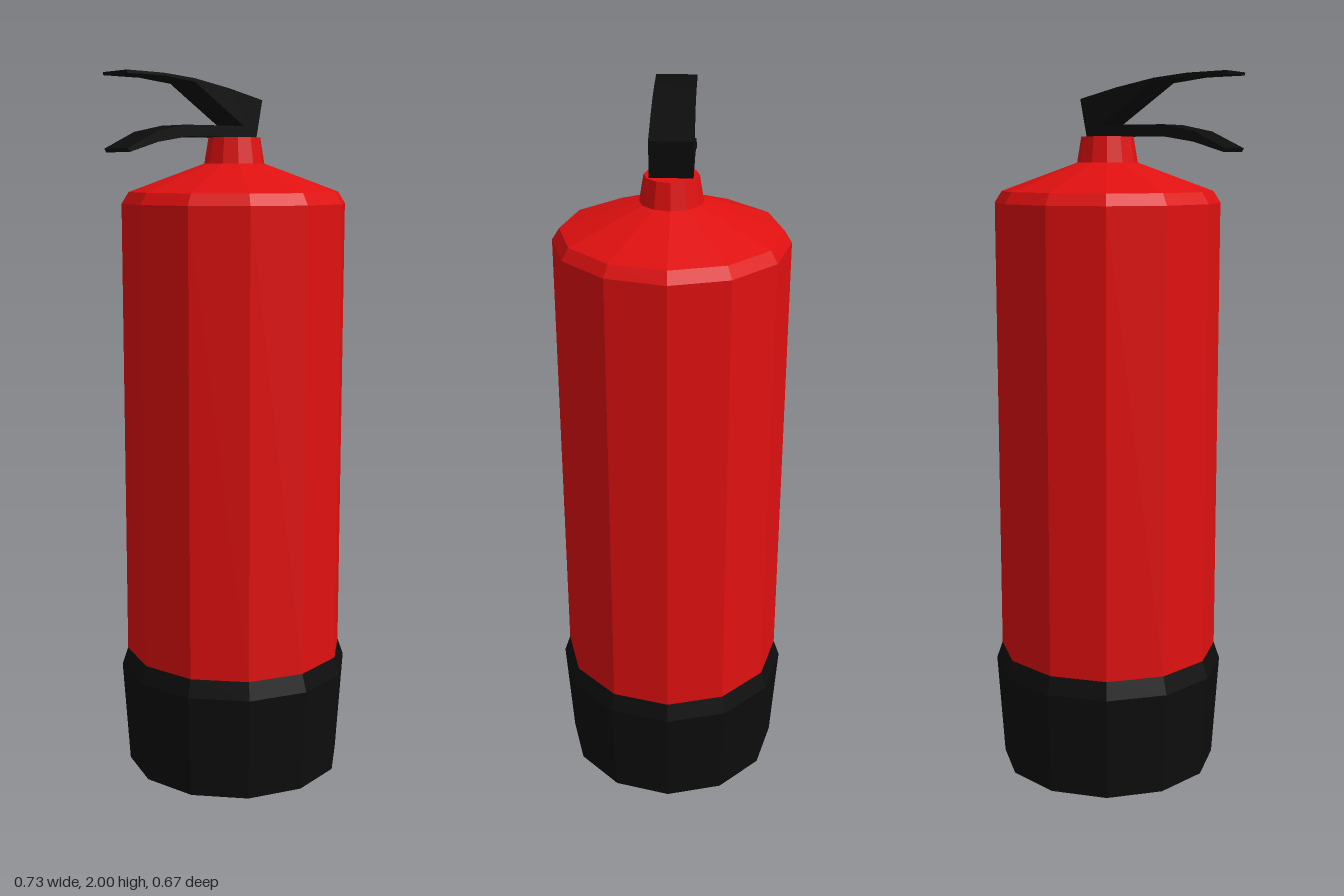
import * as THREE from 'three';

const AXIS_X = 0.027; // tank axis, offset because the levers overhang to one side
const red = new THREE.MeshStandardMaterial({ color: 0xe01010, flatShading: true });
const black = new THREE.MeshStandardMaterial({ color: 0x0d0d0d, flatShading: true });

// Twelve-sided turned part from [radius, height] pairs, bottom to top
function turned(name, profile, material) {
  const points = profile.map(([r, y]) => new THREE.Vector2(r, y));
  const mesh = new THREE.Mesh(new THREE.LatheGeometry(points, 12), material);
  mesh.name = name;
  mesh.position.x = AXIS_X;
  return mesh;
}

// Flat side outline given a width along z
function slab(name, outline, width) {
  const shape = new THREE.Shape(outline.map(([x, y]) => new THREE.Vector2(x, y)));
  const geometry = new THREE.ExtrudeGeometry(shape, { depth: width, bevelEnabled: false });
  geometry.translate(0, 0, -width / 2);
  const mesh = new THREE.Mesh(geometry, black);
  mesh.name = name;
  return mesh;
}

export function createModel() {
  const model = new THREE.Group();
  model.name = 'fireExtinguisher';

  // Flared foot with a chamfered upper rim
  model.add(turned('base', [[0, 0], [0.315, 0], [0.335, 0.3], [0.318, 0.35]], black));

  // Cylinder with a bevelled shoulder and conical top
  model.add(turned('tank', [[0.318, 0.35], [0.318, 1.655], [0.298, 1.687], [0.085, 1.765]], red));

  // Tapered neck
  model.add(turned('neck', [[0.085, 1.765], [0.073, 1.836], [0, 1.836]], red));

  // Valve head with curved squeeze lever above and carrying handle below
  model.add(slab('valveAndLevers', [
    [0.06, 1.836], [0.08, 1.937], [-0.035, 1.965], [-0.15, 1.987], [-0.25, 1.997], [-0.365, 2],
    [-0.365, 1.992], [-0.25, 1.99], [-0.15, 1.978], [0.015, 1.866],
    [-0.18, 1.866], [-0.27, 1.848], [-0.365, 1.803],
    [-0.36, 1.793], [-0.27, 1.82], [-0.17, 1.836],
  ], 0.115));

  return model;
}
